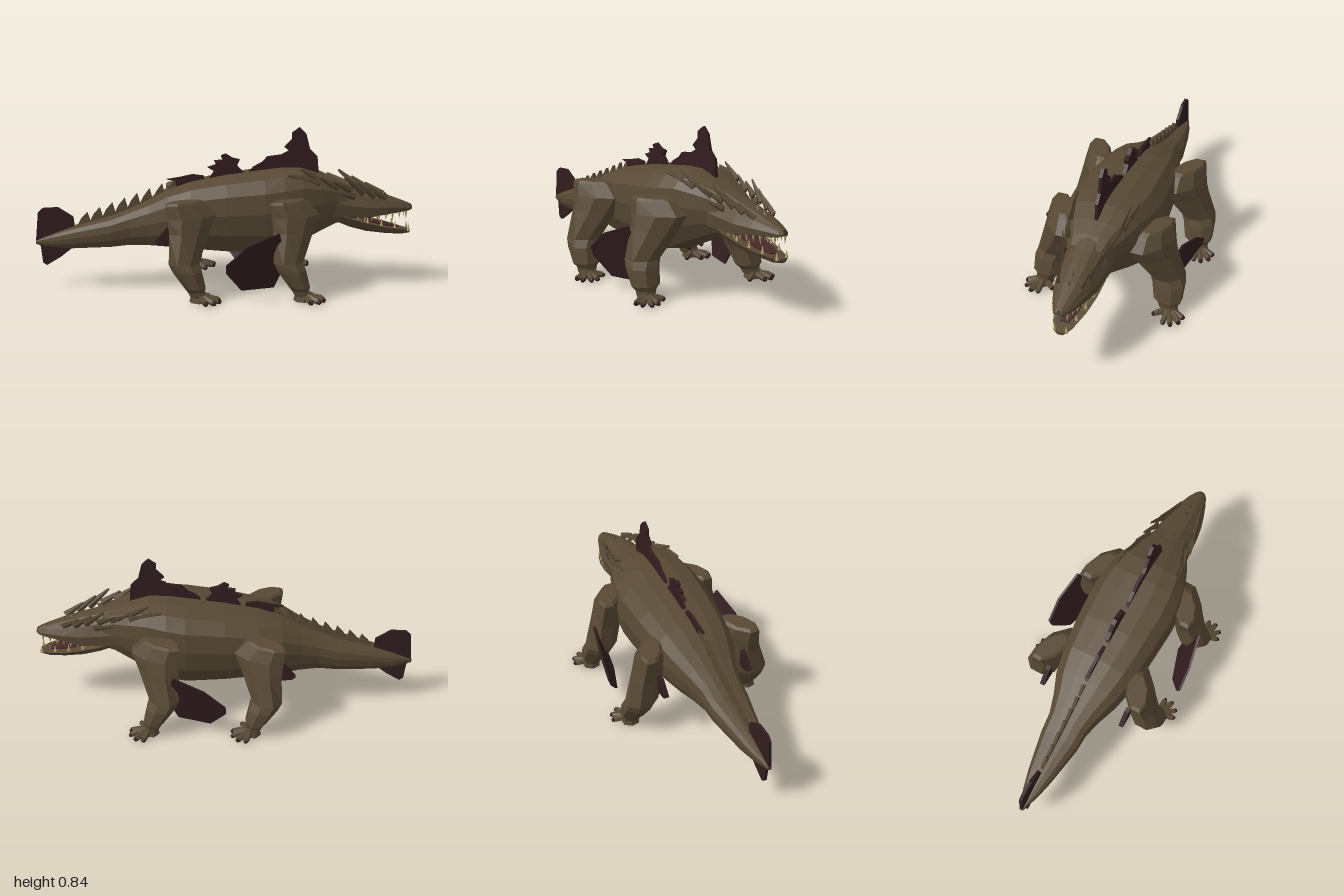
import * as THREE from 'three';

const V = (x, y, z) => new THREE.Vector3(x, y, z);
const material = (name, color) =>
  Object.assign(new THREE.MeshStandardMaterial({ color, flatShading: true }), { name });

export function createModel() {
  const model = new THREE.Group();
  const hide = material('brown hide', 0x584935);
  const fin = material('dark fin', 0x321d1f);
  const mouth = material('mouth lining', 0x20150f);
  const tongueMat = material('tongue', 0x472a2a);
  const ivory = material('ivory teeth', 0xb8a46c);

  const add = (name, geometry, mat, parent = model) => {
    const mesh = new THREE.Mesh(geometry, mat);
    mesh.name = name;
    parent.add(mesh);
    return mesh;
  };
  const group = (name) => {
    const g = new THREE.Group();
    g.name = name;
    model.add(g);
    return g;
  };

  // Skin over a list of equal-length rings, closed by a fan at both ends
  function loft(rings) {
    const n = rings[0].length, pos = [], index = [];
    rings.forEach((r) => r.forEach((p) => pos.push(p.x, p.y, p.z)));
    for (let i = 0; i < rings.length - 1; i++)
      for (let j = 0; j < n; j++) {
        const a = i * n + j, b = i * n + (j + 1) % n;
        index.push(a, b, a + n, b, b + n, a + n);
      }
    const last = (rings.length - 1) * n;
    for (let j = 1; j < n - 1; j++) index.push(0, j + 1, j, last, last + j, last + j + 1);
    const g = new THREE.BufferGeometry();
    g.setAttribute('position', new THREE.Float32BufferAttribute(pos, 3));
    g.setIndex(index);
    g.computeVertexNormals();
    return g;
  }
  // Sections [x, bottom, top, half width] through one half profile [width, height]
  function lengthwise(sections, half) {
    const mirrored = half.slice(1, -1).reverse().map(([w, h]) => [-w, h]);
    const profile = [...half, ...mirrored];
    return loft(sections.map(([x, lo, hi, w]) =>
      profile.map(([pw, ph]) => V(x, lo + (hi - lo) * ph, w * pw))));
  }
  // Tapered rod between two points
  function rod(name, a, b, r0, r1, mat, parent, sides = 5) {
    const m = add(name, new THREE.CylinderGeometry(r1, r0, a.distanceTo(b), sides), mat, parent);
    m.position.copy(a).add(b).multiplyScalar(0.5);
    m.quaternion.setFromUnitVectors(V(0, 1, 0), b.clone().sub(a).normalize());
    return m;
  }
  // Thin upright plate cut from an outline in x and y
  function plate(name, outline, mat = fin, parent = model, depth = 0.016) {
    const shape = new THREE.Shape(outline.map(([x, y]) => new THREE.Vector2(x, y)));
    const g = new THREE.ExtrudeGeometry(shape, { depth, bevelEnabled: false });
    g.translate(0, 0, -depth / 2);
    return add(name, g, mat, parent);
  }

  // Trunk, neck and tail
  const bodyHalf = [[0, 1], [0.36, 0.99], [0.72, 0.94], [0.94, 0.79], [1, 0.55], [0.93, 0.28], [0.72, 0.05], [0, 0]];
  add('body', lengthwise([
    [-1, 0.24, 0.26, 0.01], [-0.9, 0.225, 0.3, 0.045], [-0.8, 0.22, 0.335, 0.07], [-0.6, 0.23, 0.39, 0.108],
    [-0.5, 0.24, 0.43, 0.115], [-0.4, 0.24, 0.475, 0.145], [-0.3, 0.235, 0.53, 0.185], [-0.18, 0.225, 0.57, 0.212],
    [0, 0.21, 0.605, 0.232], [0.2, 0.2, 0.63, 0.243], [0.3, 0.212, 0.642, 0.232], [0.4, 0.26, 0.642, 0.205],
    [0.5, 0.31, 0.61, 0.165], [0.58, 0.345, 0.58, 0.125], [0.64, 0.36, 0.55, 0.108],
  ], bodyHalf), hide);

  // Head: upper snout and hanging lower jaw
  const snoutHalf = [[0, 1], [0.35, 0.97], [0.75, 0.75], [1, 0.38], [0.95, 0], [0, 0]];
  add('upperJaw', lengthwise([
    [0.56, 0.4, 0.585, 0.128], [0.66, 0.39, 0.552, 0.114], [0.75, 0.387, 0.527, 0.106], [0.85, 0.4, 0.495, 0.085],
    [0.94, 0.408, 0.462, 0.054], [0.985, 0.41, 0.444, 0.032], [1, 0.417, 0.432, 0.018],
  ], snoutHalf), hide);
  const jawHalf = [[0, 1], [0.85, 1], [1, 0.95], [0.8, 0.35], [0.4, 0], [0, 0]];
  add('lowerJaw', lengthwise([
    [0.6, 0.352, 0.4, 0.105], [0.66, 0.327, 0.383, 0.107], [0.75, 0.302, 0.356, 0.1], [0.85, 0.288, 0.33, 0.082],
    [0.94, 0.28, 0.313, 0.055], [0.99, 0.284, 0.302, 0.025],
  ], jawHalf), hide);
  const lining = [[0, 1], [1, 1], [1, 0], [0, 0]];
  add('palate', lengthwise([[0.64, 0.383, 0.39, 0.09], [0.75, 0.381, 0.39, 0.085], [0.85, 0.394, 0.402, 0.065], [0.97, 0.405, 0.412, 0.025]], lining), mouth);
  add('tongue', lengthwise([[0.74, 0.35, 0.366, 0.05], [0.85, 0.325, 0.341, 0.045], [0.93, 0.305, 0.321, 0.022]], lining), tongueMat);
  add('noseTip', new THREE.IcosahedronGeometry(0.014, 1), fin).position.set(0.987, 0.428, 0);

  // Teeth follow both jaw edges, every other one longer
  const teeth = group('teeth');
  for (const s of [1, -1])
    for (let i = 0; i < 8; i++) {
      const t = i / 7, x = 0.7 + 0.265 * t, long = i % 2 ? 1.6 : 1;
      const w = THREE.MathUtils.lerp(0.1, 0.036, t ** 1.5) * s;
      rod('upperTooth', V(x, 0.393 + 0.018 * t, w * 0.93), V(x, 0.375 + 0.018 * t - 0.017 * long, w * 0.86), 0.008, 0.001, ivory, teeth);
      if (i % 2 === 0) continue;
      const y = 0.365 - 0.062 * t;
      rod('lowerTooth', V(x + 0.014, y - 0.005, w * 0.85), V(x + 0.014, y + 0.036, w * 0.85), 0.009, 0.001, ivory, teeth);
    }

  // Flat blades sweeping back along both sides of the head and neck: base, then tip
  const crest = group('headCrest');
  const blades = [
    [[0.85, 0.478, 0.06], [0.76, 0.54, 0.085]], [[0.79, 0.495, 0.078], [0.69, 0.572, 0.105]],
    [[0.73, 0.515, 0.09], [0.62, 0.605, 0.125]], [[0.66, 0.53, 0.1], [0.56, 0.585, 0.135]],
    [[0.68, 0.5, 0.108], [0.59, 0.525, 0.135]], [[0.59, 0.545, 0.11], [0.49, 0.605, 0.145]],
    [[0.5, 0.585, 0.13], [0.39, 0.656, 0.145]], [[0.49, 0.575, 0.142], [0.39, 0.612, 0.16]],
    [[0.42, 0.6, 0.152], [0.32, 0.626, 0.165]],
  ];
  for (const s of [1, -1])
    for (const [a, b] of blades)
      rod('crestBlade', V(a[0], a[1], a[2] * s), V(b[0], b[1], b[2] * s), 0.023, 0.006, hide, crest, 4).scale.z = 0.4;
  for (const [x, y] of [[0.81, 0.505], [0.86, 0.488]])
    rod('snoutBump', V(x, y, 0), V(x - 0.015, y + 0.022, 0), 0.008, 0.001, hide, crest, 4);

  // Row of spikes on the tail, rising with the back
  const spikes = group('tailSpikes');
  for (let i = 0; i < 8; i++) {
    const x = -0.78 + i * 0.066, y = 0.335 + i * 0.023;
    plate('tailSpike', [[x - 0.01, y - 0.02], [x + 0.075, y - 0.005], [x + 0.066, y + 0.04], [x + 0.054, y + 0.075 + 0.002 * i], [x + 0.02, y + 0.04]], hide, spikes);
  }

  // Fins on the midline
  plate('frontDorsalFin', [[0.1, 0.59], [0.15, 0.645], [0.2, 0.672], [0.225, 0.7], [0.3, 0.71], [0.34, 0.73], [0.315, 0.75], [0.355, 0.79],
    [0.355, 0.825], [0.395, 0.854], [0.43, 0.82], [0.45, 0.74], [0.49, 0.7], [0.5, 0.59]]);
  plate('middleDorsalFin', [[-0.1, 0.56], [-0.055, 0.625], [-0.09, 0.645], [-0.045, 0.66], [-0.055, 0.68], [-0.01, 0.685], [-0.02, 0.705],
    [0.005, 0.717], [0.04, 0.695], [0.08, 0.685], [0.065, 0.655], [0.115, 0.6]], fin, model, 0.022);
  plate('rearDorsalFin', [[-0.3, 0.5], [-0.27, 0.573], [-0.305, 0.583], [-0.24, 0.593], [-0.17, 0.608], [-0.11, 0.6], [-0.1, 0.56]]);
  plate('tailFin', [[-1, 0.25], [-0.985, 0.41], [-0.96, 0.433], [-0.88, 0.437], [-0.8, 0.385], [-0.79, 0.3], [-0.8, 0.225],
    [-0.87, 0.17], [-0.945, 0.125], [-0.965, 0.14], [-0.975, 0.23]]);

  // Slanted side fins behind the front legs, and small ones behind the hind legs
  for (const s of [1, -1]) {
    const side = s > 0 ? 'left' : 'right';
    const f = plate(side + 'SideFin', [[0.26, 0.37], [0.1, 0.31], [-0.01, 0.215], [-0.01, 0.17], [0.07, 0.065], [0.24, 0.065], [0.3, 0.2]], fin, model, 0.012);
    const p = f.geometry.attributes.position;
    for (let i = 0; i < p.count; i++)
      p.setZ(i, p.getZ(i) + s * (0.335 - 0.32 * p.getX(i) + 0.33 * p.getY(i)));
    f.geometry.computeVertexNormals();
    plate(side + 'HindFin', [[-0.37, 0.3], [-0.35, 0.285], [-0.28, 0.28], [-0.28, 0.38], [-0.305, 0.375]], fin, model, 0.024).position.z = 0.24 * s;
  }

  // Small dark marks under the chest and belly
  for (const [x, y] of [[0.38, 0.248], [0.28, 0.208]])
    add('chestBump', new THREE.IcosahedronGeometry(0.014, 0), fin).position.set(x, y, 0);
  add('bellyPatch', new THREE.BoxGeometry(0.09, 0.008, 0.05), fin).position.set(-0.12, 0.217, 0);

  // Legs: rings [x, y, z, radius x, radius z, skew] from ankle to shoulder; skew pulls the front inward
  const legRings = [[0.378, 0.04, 0.345, 0.036, 0.046, 0], [0.37, 0.068, 0.34, 0.044, 0.052, 0], [0.364, 0.088, 0.337, 0.053, 0.072, 0],
    [0.325, 0.17, 0.328, 0.073, 0.082, 0], [0.308, 0.21, 0.316, 0.076, 0.084, 0.01], [0.34, 0.36, 0.265, 0.104, 0.084, 0.04],
    [0.352, 0.435, 0.248, 0.125, 0.078, 0.05], [0.318, 0.5, 0.253, 0.1, 0.06, 0.045], [0.315, 0.513, 0.258, 0.08, 0.048, 0.035]];
  const toeTips = [[0.415, 0.432], [0.455, 0.422], [0.482, 0.387], [0.48, 0.348], [0.435, 0.285]];
  function leg(name, dx, s) {
    const g = group(name);
    const rings = legRings.map(([x, y, z, rx, rz, skew]) => Array.from({ length: 8 }, (_, k) => {
      const a = (k + 0.5) / 8 * Math.PI * 2;
      return V(x + dx + Math.cos(a) * rx * 1.08, y, s * (z - skew * Math.cos(a)) - Math.sin(a) * rz * 1.08);
    }));
    add('limb', loft(rings), hide, g);
    const palm = add('palm', new THREE.CylinderGeometry(0.04, 0.05, 0.045, 7), hide, g);
    palm.position.set(0.385 + dx, 0.036, 0.35 * s);
    toeTips.forEach(([x, z]) => {
      const base = V(0.39 + dx, 0.042, 0.352 * s), tip = V(x + dx, 0.024, z * s);
      rod('toe', base, tip, 0.02, 0.015, hide, g, 6);
      const end = tip.clone().lerp(base, -0.12);
      end.y = 0.018;
      rod('claw', tip, end, 0.014, 0.009, fin, g, 6);
    });
  }
  for (const [s, side] of [[1, 'left'], [-1, 'right']]) {
    leg(side + 'FrontLeg', 0, s);
    leg(side + 'HindLeg', -0.53, s);
  }

  // Rest the feet on the ground
  const box = new THREE.Box3().setFromObject(model, true);
  model.position.y = -box.min.y;
  return model;
}
